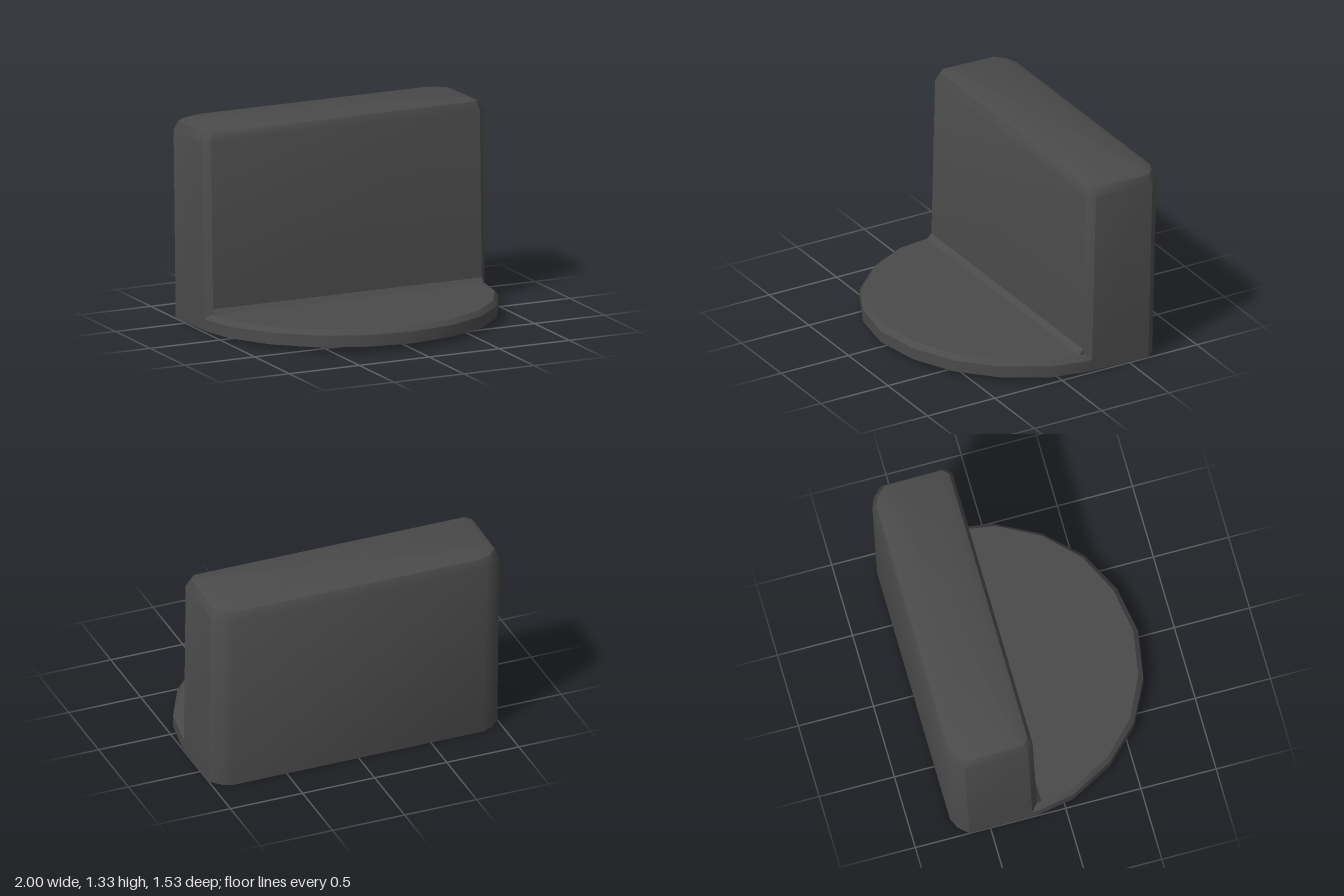
import * as THREE from 'three';
import { toCreasedNormals } from 'three/addons/utils/BufferGeometryUtils.js';

// Mirror a half outline (from +x side, front or back centre) into a closed ring of [x, z]
const mirrored = (front, back) => {
  const flip = (pts) => pts.slice().reverse().filter((p) => p[0] > 0).map(([x, z]) => [-x, z]);
  return [...front, ...flip(front), ...flip(back), ...back];
};

// Closed solid through stacked copies of one ring; each level is { y, inset }
function loft(ring, levels, crease) {
  const zs = ring.map((p) => p[1]);
  const zMin = Math.min(...zs), zMax = Math.max(...zs);
  const zMid = (zMin + zMax) / 2, halfZ = (zMax - zMin) / 2;
  const n = ring.length, pos = [], idx = [];
  for (const { y, inset } of levels) {
    for (const [x, z] of ring) {
      pos.push(x * (1 - inset), y, zMid + (z - zMid) * (1 - inset / halfZ));
    }
  }
  const bottom = levels.length * n, top = bottom + 1;
  pos.push(0, levels[0].y, zMid, 0, levels[levels.length - 1].y, zMid);
  const last = (levels.length - 1) * n;
  for (let i = 0; i < n; i++) {
    const j = (i + 1) % n;
    for (let l = 0; l < levels.length - 1; l++) {
      const a = l * n + i, b = l * n + j;
      idx.push(a, a + n, b, b, a + n, b + n);
    }
    idx.push(bottom, i, j, top, last + j, last + i);
  }
  const geo = new THREE.BufferGeometry();
  geo.setAttribute('position', new THREE.Float32BufferAttribute(pos, 3));
  geo.setIndex(idx);
  return toCreasedNormals(geo, crease);
}

export function createModel() {
  const group = new THREE.Group();
  group.name = 'roundFootedBlock';
  const grey = new THREE.MeshStandardMaterial({ color: 0x4a4a4a });
  grey.name = 'dark grey';

  const body = new THREE.Group();
  body.name = 'body';
  const add = (name, geo) => {
    const mesh = new THREE.Mesh(geo, grey);
    mesh.name = name;
    body.add(mesh);
  };

  // Upright slab: chamfered front edges, rounder back edges, rounded top
  const slabRing = mirrored(
    [[1, -0.22], [0.96, -0.178]],
    [[0.87, -0.735], [0.94, -0.705], [1, -0.64]],
  );
  add('uprightSlab', loft(slabRing, [
    { y: 0, inset: 0 },
    { y: 1.237, inset: 0 },
    { y: 1.295, inset: 0.025 },
    { y: 1.317, inset: 0.08 },
  ], 0.72));

  // Half-round foot with a chamfered rim, its back buried in the slab
  const footRing = mirrored(
    [[1, -0.22], [1, -0.18], [0.96, 0.06], [0.81, 0.345], [0.59, 0.57], [0.31, 0.71], [0, 0.762]],
    [],
  );
  add('foot', loft(footRing, [
    { y: 0, inset: 0 },
    { y: 0.077, inset: 0 },
    { y: 0.11, inset: 0.033 },
  ], 0.5));

  // Sloped strip in the corner between foot and slab
  const strip = new THREE.Shape();
  strip.moveTo(0.145, 0.108);
  strip.lineTo(0.18, 0.147);
  strip.lineTo(0.2, 0.108);
  strip.closePath();
  const stripGeo = new THREE.ExtrudeGeometry(strip, { depth: 1.92, bevelEnabled: false });
  stripGeo.translate(0, 0, -0.96);
  stripGeo.rotateY(Math.PI / 2);
  add('cornerStrip', stripGeo);

  // Whole body leans slightly back on its rear edge
  body.rotation.x = -0.025;
  body.position.y = 0.0184;
  group.add(body);
  return group;
}
